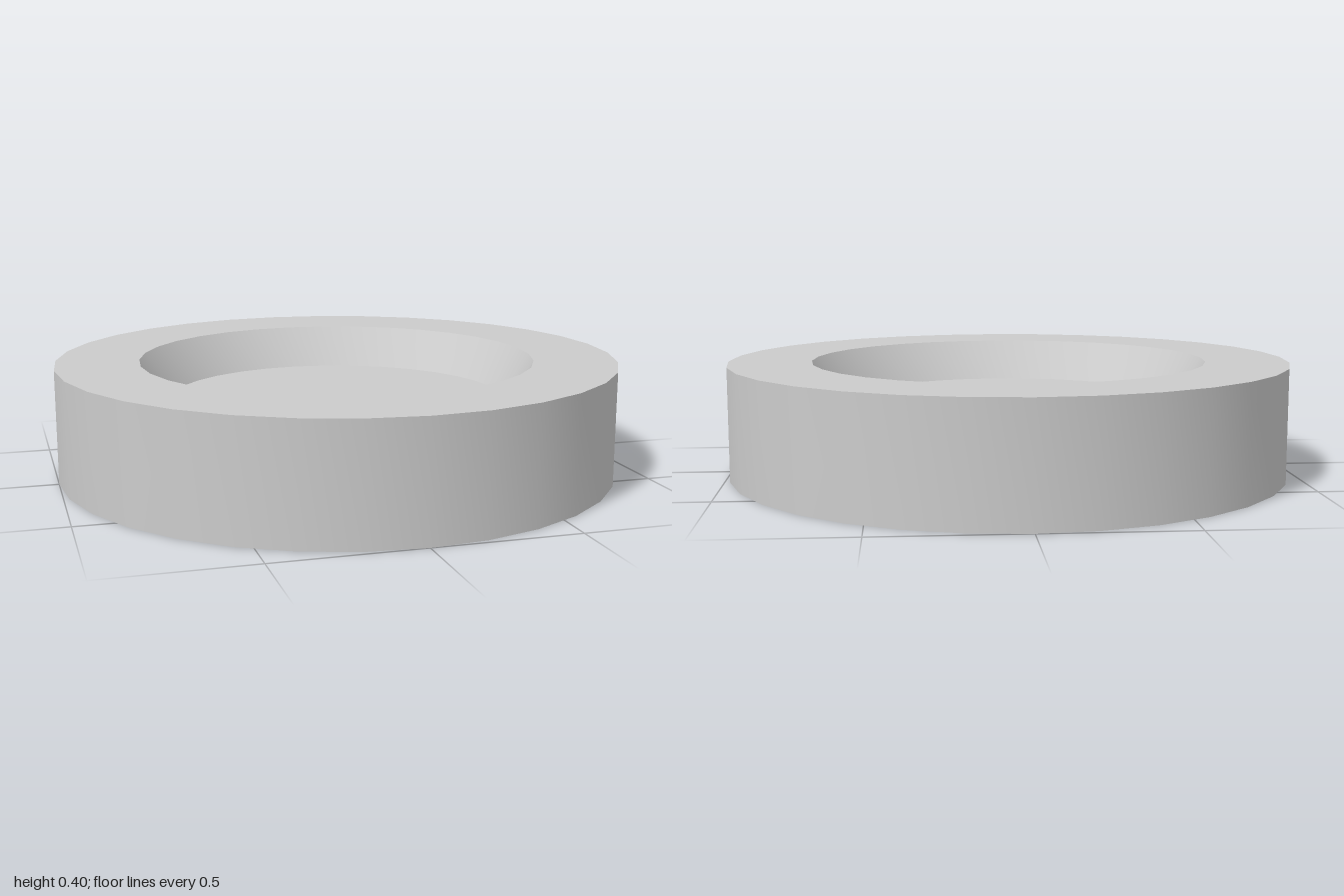
import * as THREE from 'three';
import { toCreasedNormals } from 'three/addons/utils/BufferGeometryUtils.js';

const SEGMENTS = 32;
const HEIGHT = 0.4;
const OUTER = 1;
const RIM = 0.705;   // inner edge of the flat rim
const FLOOR = 0.61;  // radius of the recessed floor
const DEPTH = 0.147; // depth of each recess

export function createModel() {
  const group = new THREE.Group();
  group.name = 'recessedDisc';

  // Half section from the underside floor, round the rim, to the upper floor
  const profile = [
    [0, DEPTH], [FLOOR, DEPTH], [RIM, 0], [OUTER, 0],
    [OUTER, HEIGHT], [RIM, HEIGHT], [FLOOR, HEIGHT - DEPTH], [0, HEIGHT - DEPTH],
  ].map(([r, y]) => new THREE.Vector2(r, y));

  // Round faces stay smooth, rim and floor edges stay sharp
  const geometry = toCreasedNormals(new THREE.LatheGeometry(profile, SEGMENTS), 0.5);
  const disc = new THREE.Mesh(geometry, new THREE.MeshStandardMaterial({ color: 0xcccccc }));
  disc.name = 'disc';
  group.add(disc);
  return group;
}
